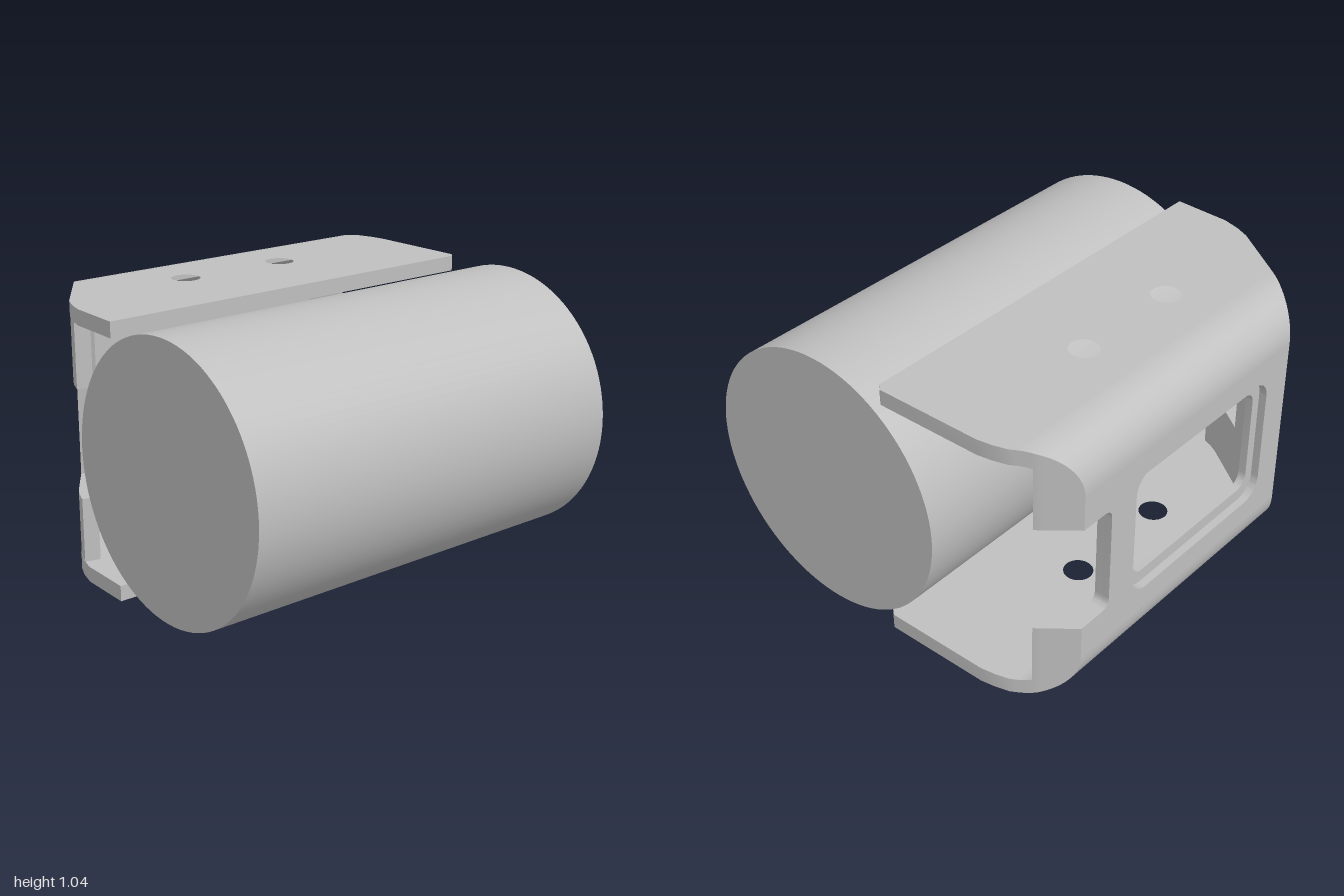
import * as THREE from 'three';
import { toCreasedNormals } from 'three/addons/utils/BufferGeometryUtils.js';

const H = 1.045, T = 0.06, R = 0.17, WALL = -0.847, FLAT = WALL + R, RIM = -0.107;
const NOTCH = [0.31, 0.735];

// Plan outline of the bracket: [x, z] along the front and back ends
const FRONT = [[WALL, 0.482], [-0.455, 0.758], [-0.4, 0.783], [-0.329, 0.803], [RIM, 0.812]];
const BACK = [[WALL, -0.674], [-0.731, -0.771], [-0.653, -0.818], [-0.6, -0.834], [-0.545, -0.844], [-0.13, -0.85], [RIM, -0.83]];

function endZ(line, x) {
  let i = 0;
  while (i < line.length - 2 && x > line[i + 1][0]) i++;
  const [a, b] = [line[i], line[i + 1]];
  return a[1] + (b[1] - a[1]) * (x - a[0]) / (b[0] - a[0]);
}

// Height of the rounded outer profile at x
function profileY(x) {
  const d = Math.max(0, FLAT - x);
  return H - R + Math.sqrt(Math.max(0, R * R - d * d)) - 0.001;
}

// Closed solid through four-cornered sections, turned to face outwards
function loft(sections) {
  const tris = [];
  const quad = (a, b, c, d) => tris.push([a, b, c], [a, c, d]);
  for (let i = 0; i < sections.length - 1; i++) {
    const [p, q] = [sections[i], sections[i + 1]];
    for (let j = 0; j < 4; j++) quad(p[j], p[(j + 1) % 4], q[(j + 1) % 4], q[j]);
  }
  const [s, e] = [sections[0], sections[sections.length - 1]];
  quad(s[3], s[2], s[1], s[0]);
  quad(e[0], e[1], e[2], e[3]);
  const v = (a) => new THREE.Vector3(...a);
  const volume = tris.reduce((sum, t) => sum + v(t[0]).dot(v(t[1]).cross(v(t[2]))), 0);
  if (volume < 0) tris.forEach((t) => t.reverse());
  const geo = new THREE.BufferGeometry();
  geo.setAttribute('position', new THREE.Float32BufferAttribute(tris.flat(2), 3));
  return toCreasedNormals(geo, 0.6);
}

const flip = (sections) => sections.map((s) => s.map(([x, y, z]) => [x, H - y, z]));

// Rounded bend between a plate and the side wall
function bendSections() {
  const out = [];
  for (let i = 0; i <= 14; i++) {
    const t = i / 14 * Math.PI / 2, r = R - T;
    const xo = FLAT - R * Math.sin(t), xi = FLAT - r * Math.sin(t);
    const yo = H - R + R * Math.cos(t), yi = H - R + r * Math.cos(t);
    out.push([[xo, yo, endZ(BACK, xo)], [xo, yo, endZ(FRONT, xo)], [xi, yi, endZ(FRONT, xi)], [xi, yi, endZ(BACK, xi)]]);
  }
  return out;
}

// Wall following an end of the outline, from x0 to x1
function endSections(line, x0, x1, y0, topAt) {
  const out = [], n = 16, side = line === FRONT ? 1 : -1;
  for (let i = 0; i <= n; i++) {
    const x = x0 + (x1 - x0) * (i / n) ** 1.6, z = endZ(line, x);
    const slope = (endZ(line, x + 0.02) - endZ(line, x)) / 0.02;
    const k = T / Math.hypot(1, slope);
    const xi = x + side * slope * k, zi = z - side * k, y1 = topAt(x);
    out.push([[x, y0, z], [x, y1, z], [xi, y1, zi], [xi, y0, zi]]);
  }
  return out;
}

function roundedHole(x0, x1, y0, y1, r) {
  const p = new THREE.Path();
  p.absarc(x0 + r, y0 + r, r, -Math.PI / 2, -Math.PI, true);
  p.absarc(x0 + r, y1 - r, r, Math.PI, Math.PI / 2, true);
  p.absarc(x1 - r, y1 - r, r, Math.PI / 2, 0, true);
  p.absarc(x1 - r, y0 + r, r, 0, -Math.PI / 2, true);
  p.closePath();
  return p;
}

export function createModel() {
  const grey = new THREE.MeshStandardMaterial({ color: 0xbfbfbf });
  grey.name = 'grey';
  const model = new THREE.Group();
  model.name = 'cylinderWithBracket';
  const body = new THREE.Group();
  body.name = 'turnedAssembly';
  body.rotation.y = -0.3732;
  model.add(body);
  const add = (name, geo) => {
    const m = new THREE.Mesh(geo, grey);
    m.name = name;
    body.add(m);
    return m;
  };

  // Solid cylinder lying along z
  const cyl = new THREE.CylinderGeometry(0.52, 0.52, 1.66, 96);
  cyl.rotateX(Math.PI / 2);
  add('cylinder', cyl).position.set(0.167, H / 2, -0.035);

  // Top and bottom plates with two screw holes
  const pts = [[FLAT, endZ(FRONT, FLAT)], ...FRONT.filter((p) => p[0] > FLAT),
    ...BACK.filter((p) => p[0] > FLAT).reverse(), [FLAT, endZ(BACK, FLAT)]];
  const plan = new THREE.Shape(pts.map((p) => new THREE.Vector2(...p)));
  for (const z of [-0.232, 0.226]) {
    plan.holes.push(new THREE.Path().absarc(-0.478, z, 0.056, 0, Math.PI * 2, true));
  }
  const plate = new THREE.ExtrudeGeometry(plan, { depth: T, bevelEnabled: false, curveSegments: 32 });
  plate.rotateX(Math.PI / 2);
  const plateGeo = toCreasedNormals(plate, 0.6);
  add('topPlate', plateGeo).position.y = H;
  add('bottomPlate', plateGeo).position.y = T;

  // Bends
  add('topBend', loft(bendSections()));
  add('bottomBend', loft(flip(bendSections())));

  // Side wall in two layers: a wide window recess over a smaller opening
  const layers = [['outerWall', WALL + T / 2, [-0.4, 0.36, 0.262, 0.783, 0.08]],
    ['innerWall', WALL + T, [-0.36, 0.32, 0.31, 0.735, 0.05]]];
  for (const [name, x, window] of layers) {
    const s = new THREE.Shape();
    const [zb, zn, zf, r] = [-0.674, -0.53, 0.482, 0.04];
    s.moveTo(zb, R);
    s.lineTo(zf, R);
    s.lineTo(zf, H - R);
    s.lineTo(zb, H - R);
    s.lineTo(zb, NOTCH[1]);
    s.lineTo(zn - r, NOTCH[1]);
    s.quadraticCurveTo(zn, NOTCH[1], zn, NOTCH[1] - r);
    s.lineTo(zn, NOTCH[0] + r);
    s.quadraticCurveTo(zn, NOTCH[0], zn - r, NOTCH[0]);
    s.lineTo(zb, NOTCH[0]);
    s.holes.push(roundedHole(...window));
    const g = new THREE.ExtrudeGeometry(s, { depth: T / 2, bevelEnabled: false, curveSegments: 8 });
    g.rotateY(-Math.PI / 2);
    add(name, toCreasedNormals(g, 0.6)).position.x = x;
  }

  // End walls above and below the notches, and the front strip beside its notch
  for (const [name, line, x1] of [['front', FRONT, -0.38], ['back', BACK, -0.72]]) {
    const sections = endSections(line, WALL, x1, NOTCH[1], profileY);
    add(name + 'UpperEndWall', loft(sections));
    add(name + 'LowerEndWall', loft(flip(sections)));
  }
  add('frontEndStrip', loft(endSections(FRONT, WALL, -0.62, NOTCH[0], () => NOTCH[1])));

  return model;
}
